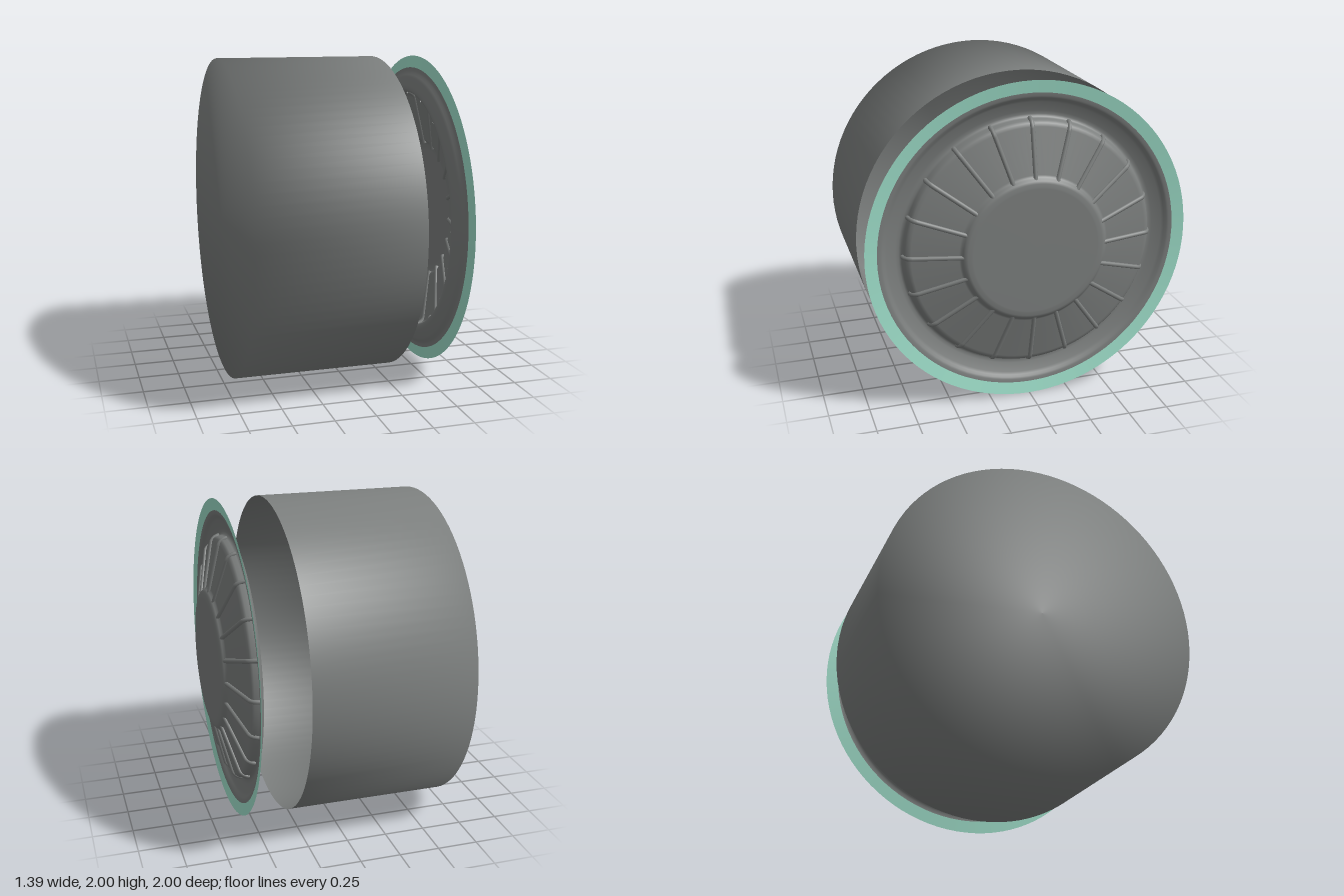
import * as THREE from 'three';

const AXIS_HEIGHT = 1;

// Revolves a profile of [radius, x] points around the x axis.
function revolve(name, profile, material, segments = 96) {
  const points = profile.map(([r, x]) => new THREE.Vector2(r, x));
  const geometry = new THREE.LatheGeometry(points, segments);
  geometry.rotateZ(-Math.PI / 2);
  const mesh = new THREE.Mesh(geometry, material);
  mesh.name = name;
  return mesh;
}

export function createModel() {
  const grey = new THREE.MeshStandardMaterial({ color: 0x7c7f7e, side: THREE.DoubleSide });
  grey.name = 'grey';
  const mint = new THREE.MeshStandardMaterial({ color: 0x9fe0cb, side: THREE.DoubleSide });
  mint.name = 'mint';

  const model = new THREE.Group();
  model.name = 'wheel';
  const wheel = new THREE.Group();
  wheel.name = 'wheelParts';
  wheel.position.y = AXIS_HEIGHT;
  model.add(wheel);

  // Drum: closed at the inner end, open towards the cover, softly shaded rim
  wheel.add(revolve('drum', [[0, -0.7], [1, -0.7], [1, 0.3]], grey));

  // Wheel cover: thin pressed shell with a groove, a cone and a flat centre
  const cover = new THREE.Group();
  cover.name = 'wheelCover';
  wheel.add(cover);
  cover.add(revolve('coverShell', [
    [0.925, 0.576], [0.905, 0.574], [0.893, 0.568], [0.88, 0.558],
    [0.865, 0.548], [0.81, 0.529], [0.79, 0.526], [0.775, 0.53],
    [0.768, 0.545], [0.762, 0.57], [0.75, 0.584], [0.73, 0.592],
    [0.46, 0.655], [0.448, 0.661], [0.44, 0.672], [0.43, 0.682],
    [0.415, 0.687], [0.395, 0.688], [0.385, 0.69], [0, 0.69],
  ], grey));

  // Outer trim ring
  cover.add(revolve('trimRing', [[1, 0.588], [0.925, 0.576]], mint));

  // Radial ribs that bend down over the edge of the cone
  const path = new THREE.CurvePath();
  const bend = [[0.43, 0.664], [0.735, 0.592], [0.762, 0.578], [0.771, 0.54]]
    .map(([r, x]) => new THREE.Vector3(x, r, 0));
  path.add(new THREE.LineCurve3(bend[0], bend[1]));
  path.add(new THREE.QuadraticBezierCurve3(bend[1], bend[2], bend[3]));
  const ribGeometry = new THREE.TubeGeometry(path, 24, 0.014, 8);
  const RIBS = 20;
  for (let i = 0; i < RIBS; i++) {
    const rib = new THREE.Mesh(ribGeometry, grey);
    rib.name = `rib${i + 1}`;
    rib.rotation.x = (i / RIBS) * Math.PI * 2;
    cover.add(rib);
  }

  return model;
}
